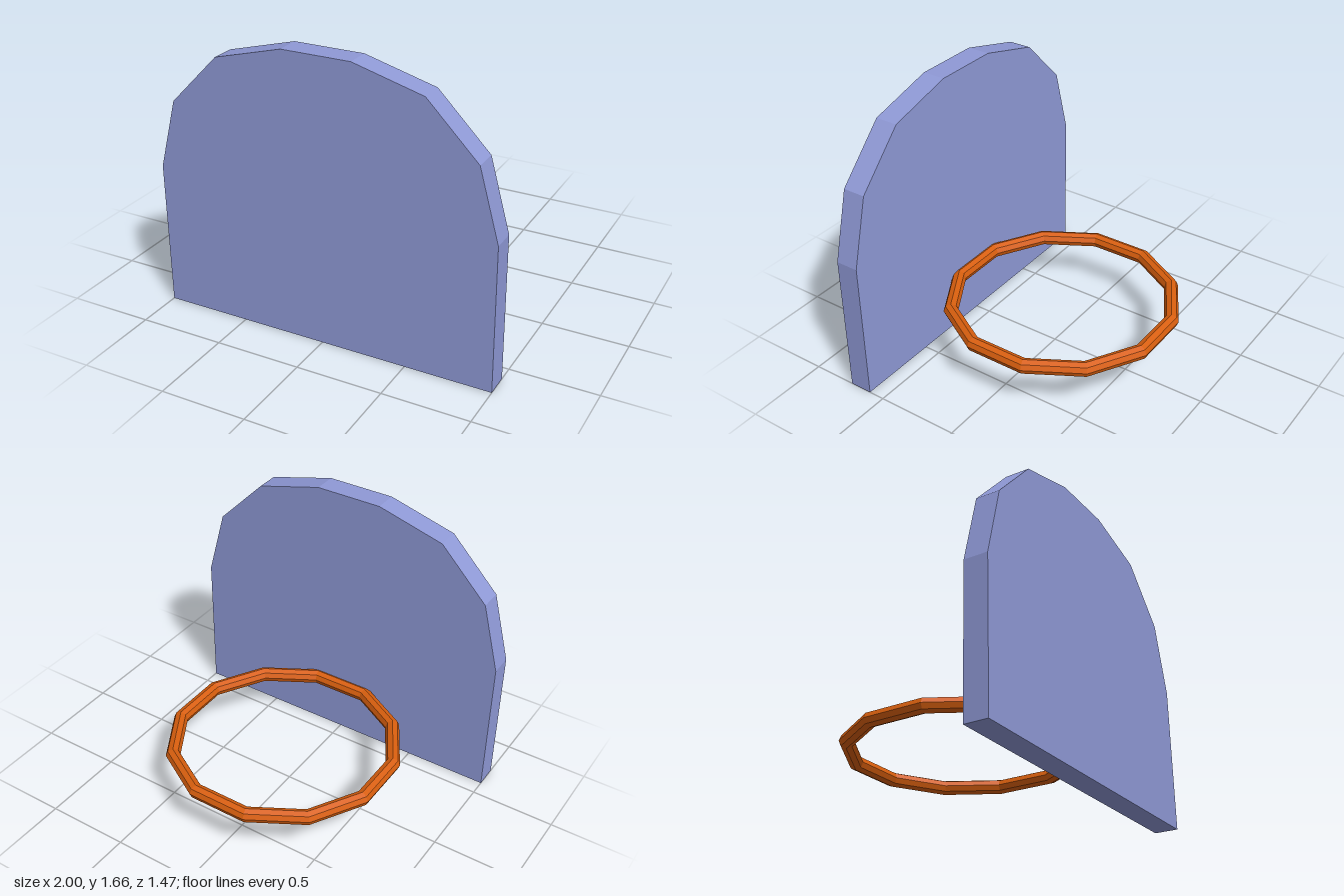
import * as THREE from 'three';

export function createModel() {
  const group = new THREE.Group();
  const material = (color) => new THREE.MeshStandardMaterial({ color, flatShading: true });

  // Backboard: arched outline, mirrored in x and extruded
  const half = [[1, 0], [1, 0.85], [0.89, 1.255], [0.6, 1.55], [0.2, 1.658]];
  const outline = [...half, ...half.map(([x, y]) => [-x, y]).reverse()];
  const shape = new THREE.Shape(outline.map(([x, y]) => new THREE.Vector2(x, y)));
  const boardGeometry = new THREE.ExtrudeGeometry(shape, { depth: 0.137, bevelEnabled: false });
  const board = new THREE.Mesh(boardGeometry, material(0x8f99d6));
  board.name = 'backboard';
  board.position.z = 0.597;
  group.add(board);

  // Hoop: twelve-sided ring with a flat side sunk into the board
  const hoopGeometry = new THREE.TorusGeometry(0.66, 0.0435, 8, 12);
  hoopGeometry.rotateZ(Math.PI / 12).rotateX(Math.PI / 2);
  const hoop = new THREE.Mesh(hoopGeometry, material(0xd95f0e));
  hoop.name = 'hoop';
  hoop.position.set(0, 0.333, -0.055);
  group.add(hoop);

  return group;
}
